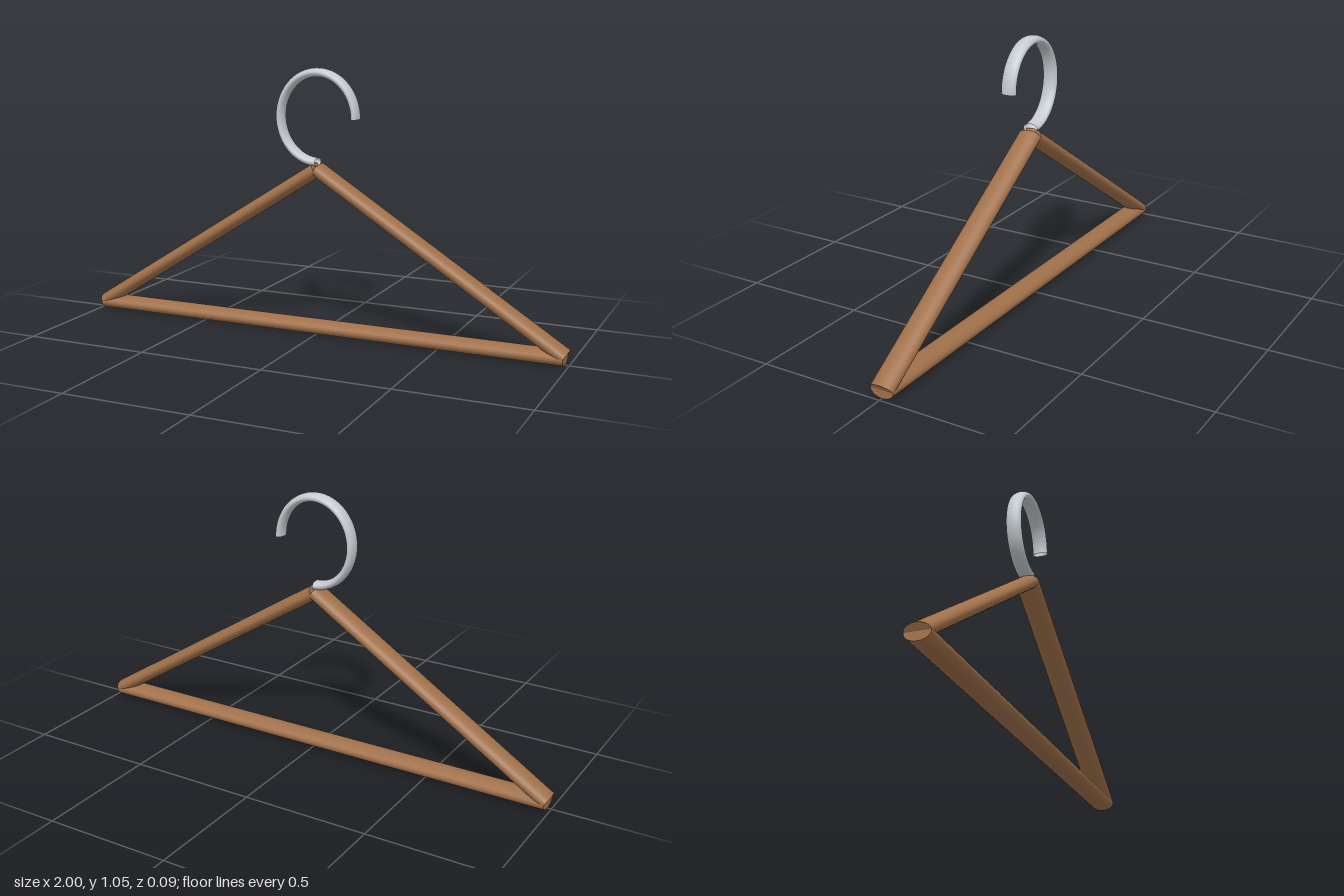
import * as THREE from 'three';

export function createModel() {
  const wood = new THREE.MeshStandardMaterial({ color: 0xa0704a });
  wood.name = 'wood';
  const metal = new THREE.MeshStandardMaterial({ color: 0xc4cacf, side: THREE.DoubleSide });
  metal.name = 'metal';

  const group = new THREE.Group();
  group.name = 'hanger';

  // Oval rod between two points in the z = 0 plane, deeper than it is thick
  function rod(name, x1, y1, x2, y2) {
    const dx = x2 - x1, dy = y2 - y1;
    const geometry = new THREE.CylinderGeometry(1, 1, 1, 32);
    geometry.scale(0.0285, Math.hypot(dx, dy), 0.047);
    const mesh = new THREE.Mesh(geometry, wood);
    mesh.name = name;
    mesh.position.set((x1 + x2) / 2, (y1 + y2) / 2, 0);
    mesh.rotation.z = Math.atan2(dy, dx) - Math.PI / 2;
    group.add(mesh);
  }

  // Bottom bar and the two sloping shoulders
  rod('bottomBar', -0.985, 0.0285, 0.985, 0.0285);
  rod('leftShoulder', 0.985, 0.032, 0, 0.657);
  rod('rightShoulder', -0.985, 0.032, 0, 0.657);

  // Three-quarter ring, open at the lower left, with a flattened wire section
  const hookGeometry = new THREE.TorusGeometry(1, 0.1, 24, 64, Math.PI * 1.5);
  hookGeometry.scale(0.1565, 0.1727, 0.31);
  const hook = new THREE.Mesh(hookGeometry, metal);
  hook.name = 'hook';
  hook.position.y = 0.857;
  group.add(hook);

  return group;
}
